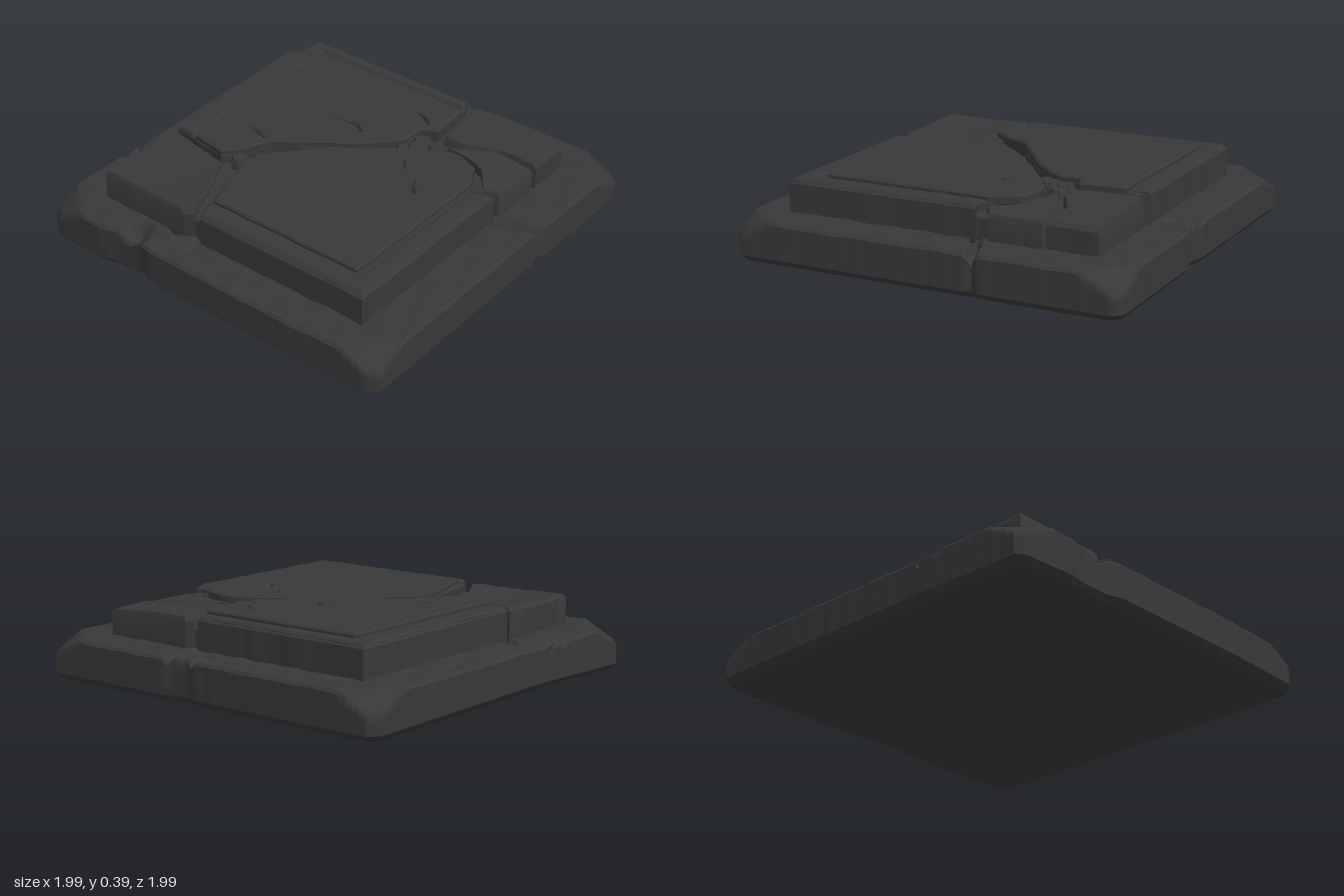
import * as THREE from 'three';
import { toCreasedNormals } from 'three/addons/utils/BufferGeometryUtils.js';

const stone = new THREE.MeshStandardMaterial({ color: 0x383838 });
stone.name = 'dark stone';

// Small seeded generator for worn edges
let seed = 7;
const rand = () => {
  seed = (seed * 16807) % 2147483647;
  return seed / 2147483647 - 0.5;
};

// Resample an [x, z] outline at a regular step and roughen it
function roughen(points, step, wear) {
  if (THREE.ShapeUtils.area(points.map(([x, y]) => ({ x, y }))) < 0) points = [...points].reverse();
  const out = [];
  points.forEach(([x, z], i) => {
    const [x2, z2] = points[(i + 1) % points.length];
    const n = Math.max(1, Math.round(Math.hypot(x2 - x, z2 - z) / step));
    for (let k = 0; k < n; k++) {
      out.push([x + (x2 - x) * k / n + rand() * wear, z + (z2 - z) * k / n + rand() * wear]);
    }
  });
  return out;
}

function addMesh(group, name, geometry) {
  const mesh = new THREE.Mesh(geometry, stone);
  mesh.name = name;
  group.add(mesh);
}

// Thin tapered opening along a path, for hairline cracks
function sliver(path, width) {
  const left = [], right = [];
  path.forEach(([x, z], i) => {
    const a = path[Math.max(0, i - 1)], b = path[Math.min(path.length - 1, i + 1)];
    const len = Math.hypot(b[0] - a[0], b[1] - a[1]);
    const w = width * (i === 0 || i === path.length - 1 ? 0.2 : 0.5);
    const nx = -(b[1] - a[1]) / len * w, nz = (b[0] - a[0]) / len * w;
    left.push([x + nx, z + nz]);
    right.unshift([x - nx, z - nz]);
  });
  return [...left, ...right];
}

// Flat bevelled slab from an [x, z] outline
function slab(group, name, points, y0, y1, bevel, cracks = []) {
  const toVec = (list) => list.map(([x, z]) => new THREE.Vector2(x, -z));
  const shape = new THREE.Shape(toVec(roughen(points, 0.07, 0.007)));
  cracks.forEach((path) => shape.holes.push(new THREE.Path(toVec(sliver(path, 0.012)))));
  const geo = new THREE.ExtrudeGeometry(shape, {
    depth: y1 - y0 - 2 * bevel, bevelThickness: bevel, bevelSize: bevel, bevelOffset: -bevel, bevelSegments: 1,
  });
  geo.rotateX(-Math.PI / 2);
  geo.translate(0, y0 + bevel, 0);
  addMesh(group, name, geo);
}

// Closed solid from scaled copies of one outline; each row is [scale, height rule]
function lump(group, name, outline, centre, rows) {
  const pos = [], index = [], n = outline.length;
  rows.forEach(([s, height]) => outline.forEach(([x, z]) => {
    const px = centre[0] + (x - centre[0]) * s, pz = centre[1] + (z - centre[1]) * s;
    pos.push(px, height(px, pz), pz);
  }));
  for (let r = 0; r < rows.length - 1; r++) {
    for (let i = 0; i < n; i++) {
      const a = r * n + i, b = r * n + (i + 1) % n;
      index.push(a, a + n, b, b, a + n, b + n);
    }
  }
  const geo = new THREE.BufferGeometry();
  geo.setAttribute('position', new THREE.Float32BufferAttribute(pos, 3));
  geo.setIndex(index);
  addMesh(group, name, toCreasedNormals(geo, 0.6));
}

// Loose fragment with a free top surface
function chunk(group, name, points, y0, top, edge = 0.94) {
  const outline = roughen(points, 0.04, 0.006);
  const centre = [0, 1].map((k) => outline.reduce((sum, p) => sum + p[k], 0) / outline.length);
  const rows = [[1, () => y0], [1, (x, z) => top(x, z) - 0.02]];
  [edge, 0.8, 0.6, 0.4, 0.2, 0].forEach((s) => rows.push([s, top]));
  lump(group, name, outline, centre, rows);
}

function distToPath(x, z, path) {
  let best = 9;
  for (let i = 0; i < path.length - 1; i++) {
    const [ax, az] = path[i], dx = path[i + 1][0] - ax, dz = path[i + 1][1] - az;
    const t = THREE.MathUtils.clamp(((x - ax) * dx + (z - az) * dz) / (dx * dx + dz * dz), 0, 1);
    best = Math.min(best, Math.hypot(x - ax - dx * t, z - az - dz * t));
  }
  return best;
}

// Cracks across the ledge and the pits: [path, width, depth]
const ledgeCracks = [
  [[[0.18, 0.76], [0.22, 0.84], [0.28, 1]], 0.03, 0.06],
  [[[0.76, 0.22], [0.85, 0.2], [1, 0.21]], 0.025, 0.03],
  [[[0.83, 0.12], [0.85, 0.06], [1, 0.06]], 0.025, 0.025],
  [[[-0.31, -0.76], [-0.27, -0.85], [-0.36, -0.92], [-0.37, -1]], 0.03, 0.04],
  [[[-0.5, -1], [-0.42, -0.94], [-0.34, -0.96]], 0.025, 0.03],
  [[[-0.76, -0.2], [-0.88, -0.2], [-0.95, -0.32]], 0.025, 0.03],
  [[[-1, -0.5], [-0.93, -0.45], [-0.86, -0.5]], 0.06, 0.05],
  [[[-0.76, -0.28], [-0.85, -0.42], [-0.86, -0.54]], 0.025, 0.03],
  [[[0.3, -0.91], [0.31, -0.91]], 0.03, 0.03],
  [[[0.98, 0.13], [0.99, 0.13]], 0.035, 0.05],
];

function ledgeTop(x, z) {
  let y = 0.222 + 0.003 * Math.sin(x * 23 + z * 9) * Math.sin(z * 31 - x * 7);
  y = Math.min(y, 0.222 - 0.5 * (Math.abs(x) + Math.abs(z) - 1.77));
  for (const [path, width, depth] of ledgeCracks) {
    y -= depth * Math.max(0, 1 - distToPath(x, z, path) / width);
  }
  return y;
}

export function createModel() {
  const model = new THREE.Group();
  model.name = 'crackedStonePlinth';

  // Wide base with clipped corners and chipped sides
  const outline = roughen([
    [0.99, -0.95], [0.985, 0.04], [0.965, 0.1], [0.97, 0.19], [0.99, 0.23], [0.99, 0.95], [0.95, 0.99],
    [0.3, 0.99], [0.27, 0.97], [0.23, 0.985], [-0.94, 0.985], [-0.98, 0.93], [-0.995, 0.5],
    [-0.99, -0.33], [-0.965, -0.42], [-0.97, -0.57], [-0.99, -0.66], [-0.985, -0.94], [-0.95, -0.985],
    [-0.4, -0.985], [-0.3, -0.98], [0.94, -0.995],
  ], 0.018, 0.003);
  const floor = (x, z) => 0.016 - 0.016 * THREE.MathUtils.smoothstep(-x - z, 1.3, 1.9);
  const rows = [[0, floor], [0.5, floor], [0.975, floor], [1, (x, z) => floor(x, z) + 0.03]];
  [0.4, 0.75].forEach((t) => rows.push([1, (x, z) => 0.045 + t * (ledgeTop(x, z) - 0.06)]));
  rows.push([1, (x, z) => ledgeTop(x, z) - 0.014]);
  for (let s = 0.988; s > 0.73; s -= 0.017) rows.push([s, ledgeTop]);
  rows.push([0, () => 0.21]);
  lump(model, 'base', outline, [0, 0], rows);

  // Upper tier: core visible at the bottom of the cracks
  slab(model, 'tierCore', [[-0.77, -0.75], [0.75, -0.75], [0.75, 0.74], [-0.77, 0.74]], 0.19, 0.32, 0.01);

  // Front left half: body, rim and panel
  const frontCrack = [[-0.41, -0.29], [-0.35, -0.3], [-0.24, -0.29], [-0.05, -0.12], [0.16, 0.12],
    [0.24, 0.24], [0.33, 0.36], [0.35, 0.47], [0.31, 0.58], [0.18, 0.65]];
  slab(model, 'frontBody', [[-0.8, -0.18], [-0.7, -0.22], ...frontCrack, [0.15, 0.68], [0.185, 0.775], [-0.8, 0.775]],
    0.2, 0.37, 0.01);
  slab(model, 'frontRim', [[-0.79, -0.18], [-0.705, -0.21], [-0.705, 0.675], [0.14, 0.675], [0.17, 0.765], [-0.79, 0.765]],
    0.34, 0.383, 0.012);
  slab(model, 'frontPanel', [[-0.675, -0.2], ...frontCrack, [-0.675, 0.645]], 0.34, 0.393, 0.009, [
    [[0.14, 0.28], [0.08, 0.33], [0.12, 0.37], [0.2, 0.39]],
    [[0.05, 0.42], [-0.01, 0.44], [-0.04, 0.49]],
  ]);

  // Back right half: body, rim and panel
  const backCrack = [[0.45, 0.26], [0.41, 0.18], [0.3, 0.18], [0.14, 0.05], [-0.12, -0.31], [-0.29, -0.4], [-0.345, -0.45]];
  slab(model, 'backBody', [[-0.3, -0.775], [0.785, -0.775], [0.785, 0.2], [0.72, 0.23], ...backCrack, [-0.33, -0.6]],
    0.2, 0.37, 0.01);
  slab(model, 'backRim', [[-0.3, -0.765], [0.775, -0.765], [0.775, 0.2], [0.71, 0.22], [0.71, -0.67], [-0.31, -0.67]],
    0.34, 0.384, 0.012);
  slab(model, 'backPanel', [[-0.315, -0.64], [0.68, -0.64], [0.68, 0.24], ...backCrack], 0.34, 0.394, 0.009, [
    [[-0.2, -0.39], [-0.12, -0.37], [-0.09, -0.48]],
    [[0.23, -0.23], [0.245, -0.14], [0.25, -0.09], [0.21, -0.03]],
    [[0.53, 0.08], [0.5, 0.15], [0.46, 0.19]],
  ]);

  // Broken corners
  chunk(model, 'backLeftCorner', [[-0.8, -0.78], [-0.32, -0.775], [-0.35, -0.6], [-0.375, -0.43], [-0.46, -0.38],
    [-0.7, -0.27], [-0.77, -0.23], [-0.8, -0.28]], 0.2,
    (x, z) => 0.378 - 0.045 * Math.exp(-(((x + 0.58) / 0.16) ** 2) - ((z + 0.5) / 0.2) ** 2) - 0.03 * Math.max(0, z + 0.5));
  chunk(model, 'frontRightCorner', [[0.45, 0.3], [0.76, 0.25], [0.785, 0.28], [0.785, 0.77], [0.54, 0.775],
    [0.535, 0.57], [0.45, 0.42]], 0.2, (x, z) => 0.372 - 0.06 * Math.max(0, z - 0.45) - 0.02 * Math.max(0, x - 0.6));
  chunk(model, 'frontFragment', [[0.39, 0.36], [0.43, 0.43], [0.515, 0.57], [0.52, 0.775], [0.24, 0.775], [0.22, 0.69],
    [0.34, 0.6], [0.375, 0.5]], 0.2, (x, z) => 0.368 - 0.1 * Math.max(0, z - 0.55));

  // Rubble inside the cracks: [x, z, radius, top]
  [[0.25, 0.2, 0.035, 0.375], [0.3, 0.25, 0.05, 0.38], [0.37, 0.23, 0.05, 0.37], [0.37, 0.31, 0.045, 0.365],
    [-0.31, -0.36, 0.045, 0.375], [0.22, 0.66, 0.04, 0.345]].forEach(([x, z, r, top]) => {
    const ring = Array.from({ length: 7 }, (_, i) => {
      const a = i / 7 * Math.PI * 2, d = r * (1 + rand() * 0.3);
      return [x + Math.cos(a) * d, z + Math.sin(a) * d];
    });
    chunk(model, 'rubble', ring, 0.3, () => top, 0.8);
  });

  return model;
}
